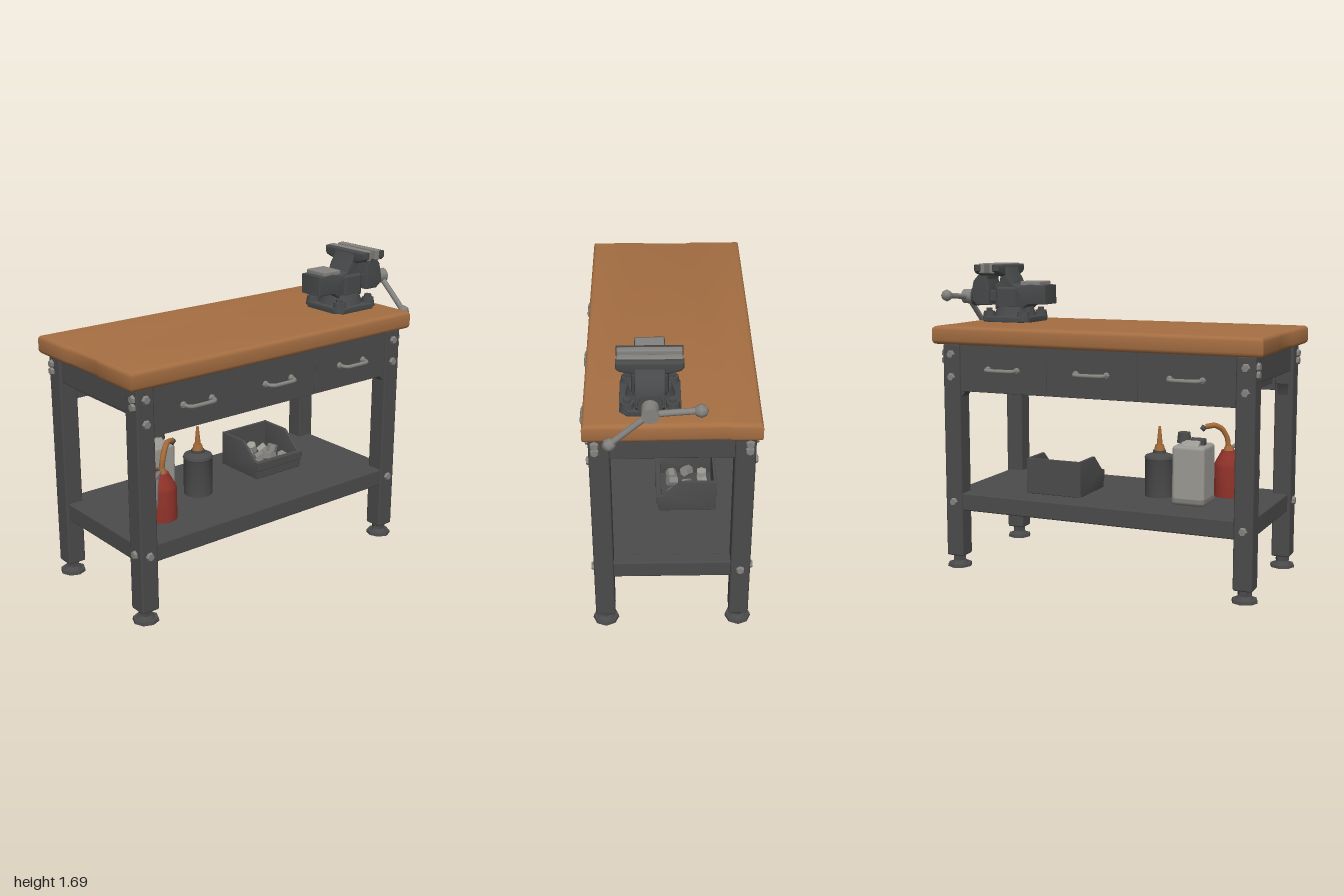
import * as THREE from 'three';
import { RoundedBoxGeometry } from 'three/addons/geometries/RoundedBoxGeometry.js';
import { toCreasedNormals } from 'three/addons/utils/BufferGeometryUtils.js';

const mat = (name, color) => {
  const m = new THREE.MeshStandardMaterial({ color });
  m.name = name;
  return m;
};

export function createModel() {
  const model = new THREE.Group();
  model.name = 'workbench';
  const wood = mat('wood', 0xa56e42), iron = mat('dark iron', 0x4b4b4b), castIron = mat('cast iron', 0x48494a);
  const steel = mat('steel', 0x85837f), plastic = mat('pale plastic', 0x9c9a94), grime = mat('grimy plastic', 0x807e79);
  const red = mat('red paint', 0x8e3229), brass = mat('brass', 0xa56b38), grip = mat('grip', 0x877878);

  const add = (name, geo, material, x = 0, y = 0, z = 0) => {
    const mesh = new THREE.Mesh(geo, material);
    mesh.name = name;
    mesh.position.set(x, y, z);
    model.add(mesh);
    return mesh;
  };
  // box given by its limits on each axis
  const box = (name, material, x0, x1, y0, y1, z0, z1, r = 0.008) =>
    add(name, new RoundedBoxGeometry(x1 - x0, y1 - y0, z1 - z0, 1, r), material,
      (x0 + x1) / 2, (y0 + y1) / 2, (z0 + z1) / 2);
  const cyl = (name, material, r0, r1, h, x, y, z, n = 16) =>
    add(name, toCreasedNormals(new THREE.CylinderGeometry(r1, r0, h, n), 0.7), material, x, y, z);
  const lathe = (name, material, pts, x, y, z) =>
    add(name, toCreasedNormals(new THREE.LatheGeometry(pts.map(p => new THREE.Vector2(...p)), 20), 0.6), material, x, y, z);
  const tube = (name, material, pts, r, closed = false) =>
    add(name, new THREE.TubeGeometry(new THREE.CatmullRomCurve3(pts.map(p => new THREE.Vector3(...p)), closed, 'catmullrom', 0.3), 28, r, 8, closed), material);
  const extrude = (pts, depth, bevel) => {
    const g = new THREE.ExtrudeGeometry(new THREE.Shape(pts.map(p => new THREE.Vector2(...p))), {
      depth: depth - 2 * bevel, bevelEnabled: bevel > 0, bevelSize: bevel, bevelThickness: bevel, bevelOffset: -bevel, bevelSegments: 3 });
    g.translate(0, 0, -(depth - 2 * bevel) / 2);
    return toCreasedNormals(g, 0.6);
  };
  // (z, y) profile spread along x
  const sideProfile = (pts, width, bevel = 0.006) => extrude(pts, width, bevel).rotateY(-Math.PI / 2);

  // Worn wooden top: plan outline with shallow nicks at both ends
  const plan = [[-0.434, -0.88], [-0.29, -0.88], [-0.27, -0.872], [-0.1, -0.874], [0.2, -0.878], [0.434, -0.88],
    [0.435, 0.5], [0.434, 1], [0.14, 1], [0.12, 0.99], [-0.12, 0.992], [-0.15, 1], [-0.434, 1], [-0.435, 0.2]];
  add('tabletop', extrude(plan, 0.1, 0.022).rotateX(Math.PI / 2), wood, 0, 1.31, 0);

  // Legs with levelling feet and bolts
  const bolt = (x, y, z, alongX) => {
    const b = cyl('bolt', steel, 0.027, 0.019, 0.024, x, y, z, 6);
    if (alongX) b.rotation.z = -Math.sign(x) * Math.PI / 2;
    else b.rotation.x = Math.sign(z) * Math.PI / 2;
  };
  for (const sx of [-1, 1]) {
    for (const z of [0.905, -0.777]) {
      const x = sx * 0.357, sz = Math.sign(z);
      box('leg', iron, x - 0.052, x + 0.052, 0.065, 1.262, z - 0.052, z + 0.052, 0.01);
      cyl('footPad', iron, 0.07, 0.067, 0.016, x, 0.008, z, 8);
      cyl('footCone', iron, 0.05, 0.034, 0.018, x, 0.025, z, 8);
      cyl('footNut', iron, 0.038, 0.038, 0.035, x, 0.052, z, 6);
      for (const y of [1.205, 1.08, 0.378]) bolt(sx * 0.412, y, z, true);
      for (const y of [1.21, 1.17]) bolt(sx * 0.378, y, z + sz * 0.055, false);
      if (sx === sz) bolt(x, 0.385, z + sz * 0.055, false);
    }
    // gusset between the back leg and the drawers
    add('gusset', sideProfile([[-0.73, 1.01], [-0.73, 0.965], [-0.715, 0.985], [-0.69, 1.01]], 0.07, 0), iron, sx * 0.355);

    // Drawers with bent pull handles on each long side
    for (const z of [0.59, 0.064, -0.462]) {
      const a = sx * 0.34, b = sx * 0.4;
      box('drawerFront', iron, Math.min(a, b), Math.max(a, b), 1.003, 1.262, z - 0.263, z + 0.263, 0.003);
      tube('drawerHandle', steel, [[0.395, -0.088], [0.435, -0.083], [0.453, -0.06], [0.453, 0.06], [0.435, 0.083], [0.395, 0.088]]
        .map(p => [sx * p[0], 1.13, z + p[1]]), 0.011);
      for (const d of [-0.088, 0.088])
        cyl('handleMount', steel, 0.02, 0.014, 0.018, sx * 0.405, 1.13, z + d, 8).rotation.z = -sx * Math.PI / 2;
    }
    const c = sx * 0.31, d = sx * 0.4;
    box('shelfSideRail', iron, Math.min(c, d), Math.max(c, d), 0.33, 0.428, -0.74, 0.87);
  }
  add('frontGusset', extrude([[0.31, 1.05], [0.283, 1.05], [0.298, 1.02], [0.31, 0.96]], 0.06, 0), iron, 0, 0, 0.9);

  // Drawer carcass, end aprons and lower shelf
  box('carcass', iron, -0.36, 0.36, 1.04, 1.255, -0.7, 0.83, 0.004);
  for (const [z0, z1] of [[0.87, 0.94], [-0.815, -0.745]]) {
    box('endApron', iron, -0.32, 0.32, 1.115, 1.262, z0, z1);
    box('shelfEndRail', iron, -0.32, 0.32, 0.33, 0.428, z0, z1);
  }
  box('shelf', iron, -0.35, 0.35, 0.35, 0.427, -0.76, 0.89, 0.004);

  // Vise: base, swivel, fixed body, sliding jaw
  const vx = 0.105;
  const base = [[-0.15, -0.11], [-0.11, -0.15], [0.11, -0.15], [0.15, -0.11], [0.15, 0.11], [0.11, 0.15], [-0.11, 0.15], [-0.15, 0.11]];
  add('viseBase', extrude(base, 0.035, 0.005).rotateX(Math.PI / 2), castIron, vx, 1.375, -0.65);
  cyl('viseSwivel', castIron, 0.125, 0.105, 0.06, vx, 1.415, -0.65, 20);
  for (const sx of [-1, 1]) for (const z of [-0.54, -0.76]) {
    cyl('baseLug', castIron, 0.04, 0.032, 0.05, vx + sx * 0.11, 1.395, z, 10);
    cyl('baseBolt', castIron, 0.022, 0.02, 0.02, vx + sx * 0.11, 1.428, z, 6);
  }
  add('viseBody', sideProfile([[-0.42, 1.462], [-0.42, 1.57], [-0.52, 1.575], [-0.59, 1.56], [-0.625, 1.575], [-0.64, 1.61],
    [-0.66, 1.64], [-0.675, 1.68], [-0.72, 1.68], [-0.728, 1.64], [-0.708, 1.615], [-0.71, 1.59], [-0.742, 1.57],
    [-0.742, 1.43], [-0.57, 1.43], [-0.53, 1.46]], 0.15), castIron, vx);
  box('viseShoulder', castIron, vx - 0.09, vx + 0.09, 1.43, 1.56, -0.735, -0.6, 0.02);
  box('anvil', steel, vx - 0.072, vx + 0.072, 1.565, 1.592, -0.58, -0.455, 0.006);
  box('slideBar', castIron, vx - 0.045, vx + 0.045, 1.47, 1.535, -0.87, -0.43, 0.006);
  add('movingJaw', sideProfile([[-0.775, 1.68], [-0.82, 1.68], [-0.838, 1.64], [-0.86, 1.62], [-0.888, 1.59], [-0.9, 1.54],
    [-0.9, 1.48], [-0.87, 1.45], [-0.79, 1.45], [-0.787, 1.57], [-0.797, 1.6], [-0.79, 1.625], [-0.772, 1.64]], 0.14), castIron, vx);
  // wide jaw heads with steel gripping plates
  const head = [[-0.16, 1.65], [-0.145, 1.635], [-0.09, 1.62], [0.09, 1.62], [0.145, 1.635], [0.16, 1.65], [0.16, 1.686], [-0.16, 1.686]];
  for (const [name, headZ, plateZ] of [['fixedJaw', -0.695, -0.718], ['movingJaw', -0.81, -0.785]]) {
    add(name + 'Head', extrude(head, 0.046, 0.012), castIron, vx, 0, headZ);
    box(name + 'Plate', steel, vx - 0.155, vx + 0.155, 1.634, 1.692, plateZ - 0.018, plateZ + 0.018, 0.007);
  }

  // Vise screw and sagging cross handle
  cyl('screwCollar', castIron, 0.06, 0.06, 0.02, vx, 1.5, -0.905, 16).rotation.x = Math.PI / 2;
  cyl('screwHub', steel, 0.042, 0.042, 0.085, vx, 1.495, -0.947, 12).rotation.x = Math.PI / 2;
  tube('viseHandle', steel, [[-0.13, 1.51, -0.965], [0.06, 1.495, -0.966], [0.13, 1.47, -0.967], [0.3, 1.32, -0.967]], 0.016);
  for (const [x, y, turn] of [[-0.13, 1.51, 1.57], [0.3, 1.32, 0.85]])
    add('handleKnob', new THREE.SphereGeometry(0.034, 8, 4), steel, x, y, -0.967).rotation.z = turn;

  // Pale canister with sloped shoulders and cap, grimy towards the foot
  box('canister', plastic, -0.197, -0.006, 0.428, 0.75, 0.437, 0.622, 0.02);
  box('canisterFoot', grime, -0.199, -0.004, 0.428, 0.482, 0.435, 0.624, 0.02);
  add('canisterShoulder', extrude([[-0.07, 0], [0.07, 0], [0.035, 0.03], [-0.035, 0.03]], 0.1, 0.004), plastic, -0.11, 0.745, 0.53);
  cyl('canisterCap', iron, 0.04, 0.034, 0.055, -0.115, 0.785, 0.48, 10);
  box('canisterGrip', iron, -0.135, -0.085, 0.745, 0.785, 0.51, 0.6, 0.01);

  // Red pump oiler
  const [ox, oz] = [0.15, 0.645];
  lathe('oilerBody', red, [[0, 0], [0.08, 0], [0.08, 0.17], [0.076, 0.185], [0.056, 0.222], [0.045, 0.24], [0.04, 0.255], [0, 0.255]], ox, 0.428, oz);
  cyl('oilerCollar', brass, 0.032, 0.022, 0.03, ox, 0.692, oz, 12);
  tube('oilerSpout', brass, [[ox, 0.68, oz], [0.15, 0.75, 0.635], [0.135, 0.8, 0.61], [0.11, 0.822, 0.575], [0.085, 0.815, 0.53]], 0.015);
  cyl('oilerTip', iron, 0.018, 0.014, 0.025, 0.08, 0.808, 0.52, 8).rotation.x = -1;
  tube('oilerHandle', grip, [[0.175, 0.7, 0.675], [0.21, 0.695, 0.72], [0.23, 0.685, 0.755], [0.243, 0.6, 0.775], [0.247, 0.53, 0.785],
    [0.228, 0.505, 0.76], [0.207, 0.54, 0.725], [0.2, 0.62, 0.715], [0.19, 0.68, 0.7]], 0.013, true);
  tube('oilerTrigger', grip, [[0.155, 0.695, 0.66], [0.185, 0.73, 0.7], [0.22, 0.755, 0.77]], 0.01);

  // Grey dropper can
  lathe('dropperCan', iron, [[0, 0], [0.08, 0], [0.08, 0.205], [0.083, 0.212], [0.078, 0.226], [0.036, 0.24], [0.036, 0.255], [0, 0.255]], 0.0, 0.428, 0.295);
  cyl('dropperCollar', brass, 0.032, 0.024, 0.035, 0, 0.695, 0.295, 12);
  cyl('dropperSpout', brass, 0.018, 0.007, 0.11, 0, 0.76, 0.295, 10);

  // Open parts bin facing +x, with loose hardware inside
  const binSide = [[-0.25, 0.43], [0.06, 0.43], [0.075, 0.53], [0.045, 0.535], [-0.06, 0.628], [-0.25, 0.628]];
  for (const z of [-0.078, -0.392]) add('binSide', extrude(binSide, 0.016, 0.003), iron, 0, 0, z);
  box('binFloor', iron, -0.245, 0.06, 0.428, 0.445, -0.395, -0.075, 0.003);
  box('binBack', iron, -0.25, -0.234, 0.43, 0.628, -0.39, -0.08, 0.003);
  box('binLip', iron, 0.05, 0.07, 0.43, 0.53, -0.395, -0.075, 0.005);
  box('binLipBand', iron, 0.062, 0.08, 0.478, 0.53, -0.4, -0.07, 0.005);
  for (let i = 0; i < 9; i++) {
    const part = cyl('loosePart', i % 3 ? steel : plastic, 0.03, 0.03, 0.05,
      -0.18 + (i % 3) * 0.085, 0.485 + (i % 2) * 0.025, -0.15 - Math.floor(i / 3) * 0.085, 6);
    part.rotation.set(i * 1.3, i * 0.7, i * 0.9);
  }
  return model;
}
